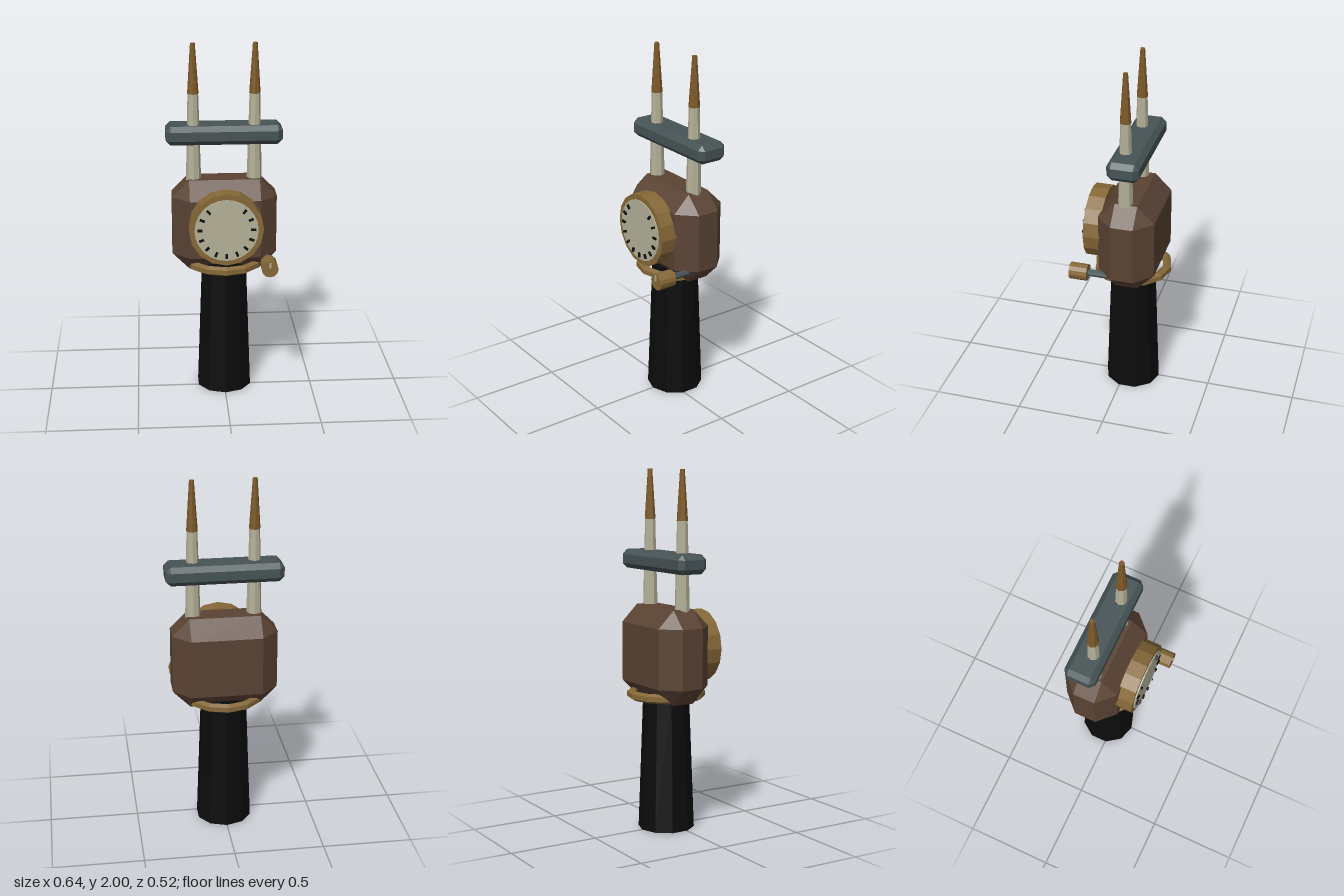
import * as THREE from 'three';
import { ConvexGeometry } from 'three/addons/geometries/ConvexGeometry.js';

const paint = (name, color) => Object.assign(new THREE.MeshStandardMaterial({ color }), { name });

// faceted normals baked into the geometry
function flat(geo) {
  const g = geo.index ? geo.toNonIndexed() : geo;
  g.computeVertexNormals();
  return g;
}

// box with all edges and corners cut off by c
function chamferBox(w, h, d, c) {
  const [x, y, z] = [w / 2, h / 2, d / 2];
  const pts = [];
  for (const sx of [-1, 1]) for (const sy of [-1, 1]) for (const sz of [-1, 1]) {
    pts.push(
      new THREE.Vector3(sx * x, sy * (y - c), sz * (z - c)),
      new THREE.Vector3(sx * (x - c), sy * y, sz * (z - c)),
      new THREE.Vector3(sx * (x - c), sy * (y - c), sz * z));
  }
  return new ConvexGeometry(pts);
}

// upright tapered cylinder between two heights
function post(rBottom, rTop, y0, y1, sides) {
  return new THREE.CylinderGeometry(rTop, rBottom, y1 - y0, sides).translate(0, (y0 + y1) / 2, 0);
}

// cylinder along z between two depths
function disc(r, z0, z1, sides) {
  return new THREE.CylinderGeometry(r, r, z1 - z0, sides).rotateX(Math.PI / 2).translate(0, 0, (z0 + z1) / 2);
}

export function createModel() {
  const model = new THREE.Group();
  model.name = 'probeMeter';
  const brown = paint('brownCase', 0x5a4334);
  const slate = paint('slateMetal', 0x465355);
  const brass = paint('brass', 0x866838);
  const copper = paint('darkBrass', 0x7e5a28);
  const cream = paint('cream', 0xb4b198);
  const black = paint('black', 0x0c0c0c);

  const add = (name, geo, mat, x = 0, y = 0, z = 0, parent = model) => {
    const m = new THREE.Mesh(flat(geo), mat);
    m.name = name;
    m.position.set(x, y, z);
    parent.add(m);
    return m;
  };
  const axisZ = -0.044;

  // handle and case
  add('handle', post(0.157, 0.128, 0, 0.77, 10), black, 0, 0, axisZ);
  add('case', chamferBox(0.58, 0.52, 0.315, 0.095), brown, 0, 0.99, -0.053);

  // collar ring with a hexagonal section around the top of the handle
  const section = [];
  for (let i = 0; i <= 6; i++) {
    const a = -Math.PI / 6 + (i * Math.PI) / 3;
    section.push(new THREE.Vector2(0.195 + 0.0265 * Math.cos(a), 0.0265 * Math.sin(a)));
  }
  add('collar', new THREE.LatheGeometry(section, 12), brass, 0, 0.764, axisZ);

  // two prongs with tapered tips
  for (const [side, s] of [['left', 1], ['right', -1]]) {
    add(side + 'Prong', post(0.043, 0.029, 1.2, 1.73, 8), cream, s * 0.168, 0, axisZ);
    add(side + 'ProngTip', post(0.031, 0.013, 1.725, 2, 8), copper, s * 0.168, 0, axisZ);
  }
  add('crossbar', chamferBox(0.64, 0.105, 0.175, 0.027), slate, 0, 1.5, -0.0625);

  // dial: bezel, face and tick marks open at the top
  const dial = new THREE.Group();
  dial.name = 'dial';
  dial.position.set(0, 1.02, 0);
  model.add(dial);
  add('bezel', disc(0.204, 0.095, 0.19, 16), brass, 0, 0, 0, dial);
  add('dialFace', disc(0.174, 0.185, 0.197, 24), cream, 0, 0, 0, dial);
  for (let i = -6; i <= 6; i++) {
    const a = THREE.MathUtils.degToRad(-90 + i * 23);
    const tick = add('tick', new THREE.BoxGeometry(0.027, 0.012, 0.009), black,
      0.146 * Math.cos(a), 0.146 * Math.sin(a), 0.2015, dial);
    tick.rotation.z = a;
  }

  // adjusting knob on its shaft
  const knob = new THREE.Group();
  knob.name = 'knob';
  knob.position.set(0.233, 0.812, 0);
  model.add(knob);
  add('knobShaft', disc(0.019, -0.02, 0.16, 8), slate, 0, 0, 0, knob);
  add('knobCap', disc(0.0465, 0.152, 0.253, 12), brass, 0, 0, 0, knob);
  add('knobMark', new THREE.BoxGeometry(0.01, 0.03, 0.008), cream, 0, 0.024, 0.256, knob);

  return model;
}
